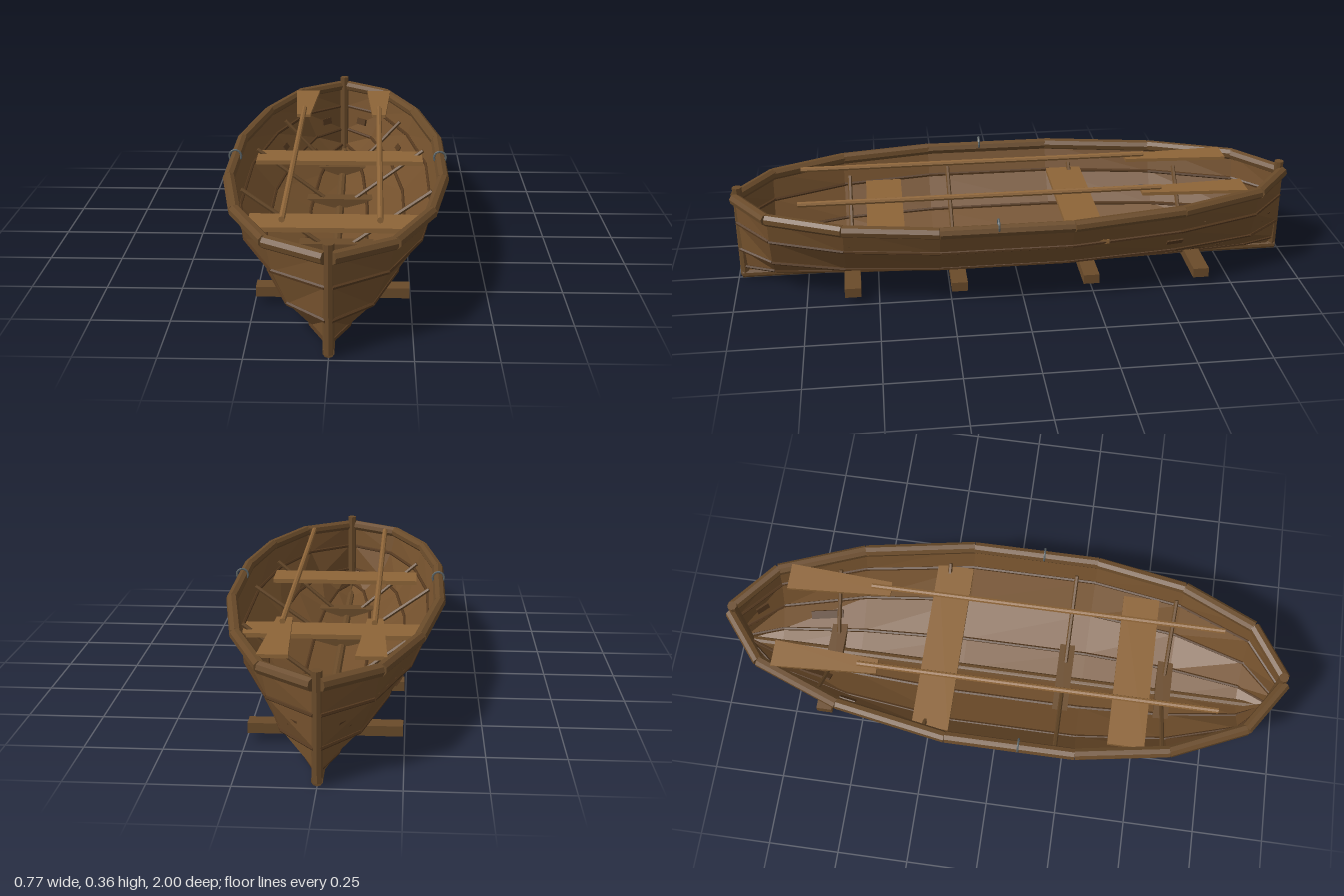
import * as THREE from 'three';

const paint = (name, color, side = THREE.FrontSide) =>
  new THREE.MeshStandardMaterial({ name, color, side, flatShading: true });

// Hull stations: z position and share of the full half-width
const STATIONS = [
  [-0.985, 0.03], [-0.85, 0.49], [-0.55, 0.81], [-0.16, 1],
  [0.29, 1], [0.61, 0.85], [0.865, 0.53], [0.985, 0.03],
];
// Midship section from keel to gunwale: half-width and height
const SECTION = [[0, 0.02], [0.106, 0.049], [0.239, 0.118], [0.325, 0.222], [0.361, 0.315]];

// Share of the full half-width at any z
function fullness(z) {
  for (let i = 1; i < STATIONS.length; i++) {
    const [z0, f0] = STATIONS[i - 1], [z1, f1] = STATIONS[i];
    if (z <= z1) return f0 + (f1 - f0) * (z - z0) / (z1 - z0);
  }
  return 0;
}

// Half-width of the hull at a height y and position z
function halfWidth(y, z) {
  for (let j = 1; j < SECTION.length; j++) {
    const [x0, y0] = SECTION[j - 1], [x1, y1] = SECTION[j];
    if (y <= y1) return (x0 + (x1 - x0) * (y - y0) / (y1 - y0)) * fullness(z);
  }
  return SECTION[4][0] * fullness(z);
}

// Planked shell, both sides
function hullGeometry() {
  const pos = [];
  for (const s of [1, -1]) {
    const p = (i, j) => [s * SECTION[j][0] * STATIONS[i][1], SECTION[j][1], STATIONS[i][0]];
    for (let i = 0; i < STATIONS.length - 1; i++) {
      for (let j = 0; j < SECTION.length - 1; j++) {
        const a = p(i, j), b = p(i, j + 1), c = p(i + 1, j + 1), d = p(i + 1, j);
        if (s > 0) pos.push(...a, ...b, ...c, ...a, ...c, ...d);
        else pos.push(...a, ...c, ...b, ...a, ...d, ...c);
      }
    }
  }
  const g = new THREE.BufferGeometry();
  g.setAttribute('position', new THREE.Float32BufferAttribute(pos, 3));
  g.computeVertexNormals();
  return g;
}

export function createModel() {
  const wood = paint('hull wood', 0x74512d, THREE.DoubleSide);
  const trim = paint('trim wood', 0x6a4b2a);
  const dark = paint('dark wood', 0x55391f);
  const light = paint('light wood', 0x8e6538);
  const iron = paint('iron', 0x5a6264);

  const boat = new THREE.Group();
  boat.name = 'rowingBoat';

  const add = (name, geometry, material, x = 0, y = 0, z = 0) => {
    const mesh = new THREE.Mesh(geometry, material);
    mesh.name = name;
    mesh.position.set(x, y, z);
    boat.add(mesh);
    return mesh;
  };
  const box = (name, w, h, d, mat, x, y, z) => add(name, new THREE.BoxGeometry(w, h, d), mat, x, y, z);
  // Round bar between two points
  const bar = (name, from, to, radius, sides, mat) => {
    const a = new THREE.Vector3(...from), b = new THREE.Vector3(...to);
    const dir = b.clone().sub(a);
    const mesh = add(name, new THREE.CylinderGeometry(radius, radius, dir.length(), sides), mat);
    mesh.position.copy(a).add(b).multiplyScalar(0.5);
    mesh.quaternion.setFromUnitVectors(new THREE.Vector3(0, 1, 0), dir.normalize());
    return mesh;
  };

  add('hull', hullGeometry(), wood);

  // Keel and the posts at both ends
  bar('keel', [0, 0.018, -0.985], [0, 0.018, 0.985], 0.018, 10, trim);
  for (const z of [-0.975, 0.975]) bar('stemPost', [0, 0.01, z], [0, 0.355, z], 0.017, 8, trim);

  // Gunwale and strake battens, one bar per hull segment
  for (const s of [1, -1]) {
    for (let i = 0; i < STATIONS.length - 1; i++) {
      const [z0, f0] = STATIONS[i], [z1, f1] = STATIONS[i + 1];
      for (let j = 1; j < SECTION.length; j++) {
        const [w, y] = SECTION[j];
        const top = j === SECTION.length - 1;
        bar(top ? 'gunwale' : 'strake', [s * w * f0, y, z0], [s * w * f1, y, z1],
          top ? 0.021 : 0.007, top ? 8 : 6, top ? trim : dark);
      }
    }
  }

  // Cross beams under the hull with ribs rising above them
  for (const z of [0.59, 0.22, -0.245, -0.64]) {
    box('crossBeam', 0.49, 0.034, 0.056, trim, 0, 0.044, z);
    for (const s of [1, -1]) {
      bar('rib', [s * 0.06, 0.058, z], [s * halfWidth(0.25, z) * 0.98, 0.25, z], 0.008, 6, trim);
    }
  }

  // Seats
  box('frontSeat', 0.565, 0.016, 0.13, light, 0, 0.222, 0.465);
  box('rearSeat', 0.625, 0.016, 0.13, light, 0, 0.225, -0.225);

  // Small repair plates through the planking: z, y, length, height
  for (const [z, y, len, h] of [[-0.54, 0.168, 0.06, 0.022], [-0.69, 0.086, 0.12, 0.03], [-0.915, 0.17, 0.05, 0.026]]) {
    for (const s of [1, -1]) {
      const x = halfWidth(y, z);
      const slope = (halfWidth(y, z + 0.02) - halfWidth(y, z - 0.02)) / 0.04;
      const lean = (halfWidth(y + 0.01, z) - halfWidth(y - 0.01, z)) / 0.02;
      const plate = box('repairPlate', 0.009, h, len, dark, s * x, y, z);
      plate.rotation.set(0, s * Math.atan(slope), -s * Math.atan(lean));
    }
  }

  // Oars resting along the boat, and oarlock rings
  const bladeShape = new THREE.Shape([[-0.048, -0.8], [0.048, -0.8], [0.026, -0.43], [-0.026, -0.43]]
    .map(([x, z]) => new THREE.Vector2(x, -z)));
  const blade = new THREE.ExtrudeGeometry(bladeShape, { depth: 0.012, bevelEnabled: false });
  blade.rotateX(-Math.PI / 2);
  for (const s of [1, -1]) {
    bar('oarShaft', [s * 0.148, 0.345, -0.5], [s * 0.148, 0.345, 0.76], 0.01, 8, light);
    add('oarBlade', blade, light, s * 0.148, 0.326, 0);
    add('oarlock', new THREE.TorusGeometry(0.021, 0.004, 6, 14), iron, s * 0.36, 0.332, 0.095);
  }

  return boat;
}
